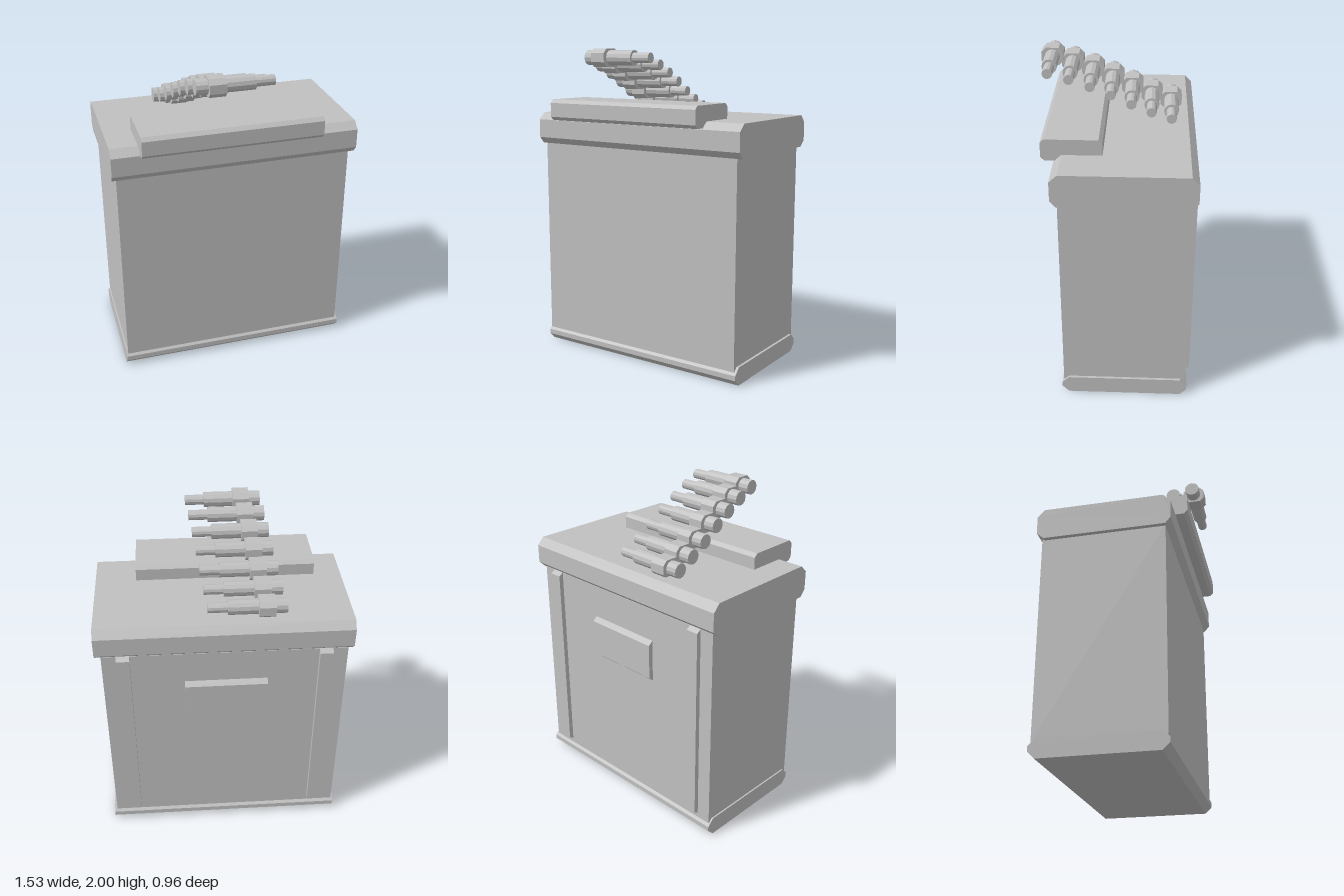
import * as THREE from 'three';

const grey = new THREE.MeshStandardMaterial({ color: 0xc0c0c0 });
grey.name = 'plainGrey';

function add(parent, name, geometry) {
  const mesh = new THREE.Mesh(geometry, grey);
  mesh.name = name;
  parent.add(mesh);
  return mesh;
}

// Straight bar along x with a [z, y] cross-section
function bar(parent, name, profile, x0, x1) {
  const shape = new THREE.Shape(profile.map(([z, y]) => new THREE.Vector2(-z, y)));
  const geo = new THREE.ExtrudeGeometry(shape, { depth: x1 - x0, bevelEnabled: false });
  geo.rotateY(Math.PI / 2).translate(x0, 0, 0);
  return add(parent, name, geo);
}

// Rectangle with bevelled corners: bz, by are the bevel sizes
function bevelled(z0, z1, y0, y1, bz, by = bz) {
  return [
    [z1 - bz, y0], [z1, y0 + by], [z1, y1 - by], [z1 - bz, y1],
    [z0 + bz, y1], [z0, y1 - by], [z0, y0 + by], [z0 + bz, y0],
  ];
}

// Plate on the back wall, bevelled at its top and bottom edges
function backPlate(y0, y1, bevel) {
  return [[-0.44, y0], [-0.45, y0], [-0.479, y0 + bevel], [-0.479, y1 - bevel], [-0.45, y1], [-0.44, y1]];
}

// Rod segment along x
function rod(parent, name, radius, x0, x1) {
  const geo = new THREE.CylinderGeometry(radius, radius, x1 - x0, 12).toNonIndexed();
  geo.rotateZ(Math.PI / 2).translate((x0 + x1) / 2, 0, 0);
  geo.computeVertexNormals();
  return add(parent, name, geo);
}

export function createModel() {
  const model = new THREE.Group();
  model.name = 'cabinet';

  // Cabinet
  bar(model, 'base', bevelled(-0.463, 0.327, 0, 0.115, 0.042), -0.745, 0.743);
  const body = add(model, 'body', new THREE.BoxGeometry(1.462, 1.3, 0.767));
  body.position.set(-0.004, 0.74, -0.0665);
  bar(model, 'lid', [
    [0.32, 1.38], [0.354, 1.42], [0.354, 1.538], [0.307, 1.582],
    [-0.435, 1.582], [-0.479, 1.535], [-0.479, 1.42], [-0.435, 1.38],
  ], -0.763, 0.763);
  bar(model, 'frontLedge', bevelled(0.07, 0.428, 1.545, 1.678, 0.022), -0.593, 0.512);

  // Back wall details
  for (const x of [-0.604, 0.6]) {
    bar(model, 'backRail', backPlate(0.12, 1.392, 0.02), x - 0.04, x + 0.04);
  }
  bar(model, 'backPlate', backPlate(0.915, 1.185, 0.025), -0.26, 0.24);

  // Row of floating handles, climbing towards the front
  const heights = [1.945, 1.904, 1.854, 1.797, 1.732, 1.675, 1.628];
  heights.forEach((y, i) => {
    const handle = new THREE.Group();
    handle.name = 'handle';
    rod(handle, 'handleShaft', 0.046, -0.278, 0.072);
    rod(handle, 'handleTip', 0.031, 0.072, 0.19);
    bar(handle, 'handleCollar', bevelled(-0.068, 0.068, -0.055, 0.055, 0.028), -0.207, -0.108);
    handle.position.set(-0.016 * i, y, 0.412 - 0.1235 * i);
    model.add(handle);
  });

  return model;
}
